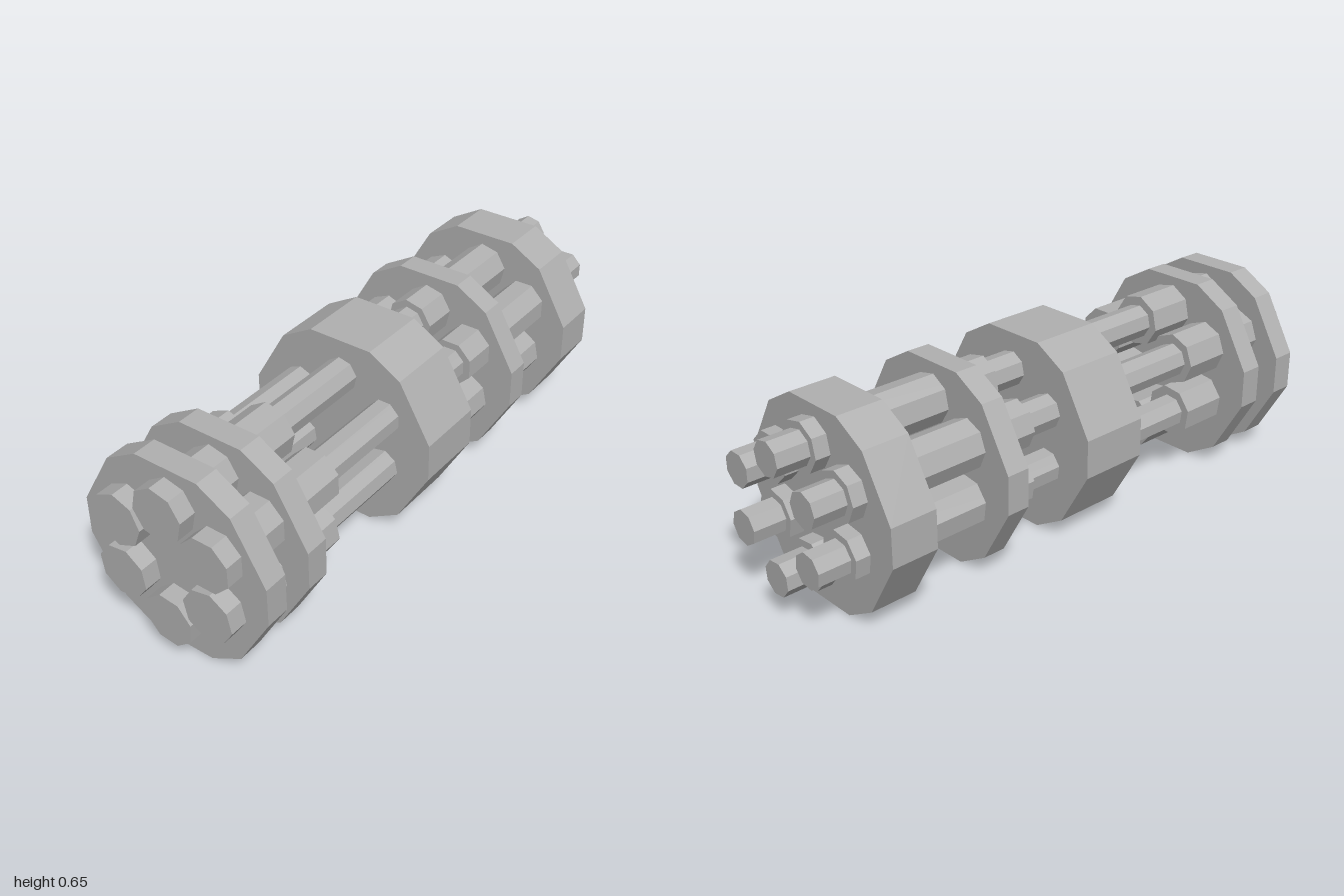
import * as THREE from 'three';

const AXIS_Y = 0.324;

// Twelve-sided plate: a hexagon with bevelled corners, spanning z0 to z1
function plate(z0, z1) {
  const shape = new THREE.Shape();
  for (let k = 0; k < 6; k++) {
    for (const off of [-10.9, 10.9]) {
      const a = THREE.MathUtils.degToRad(k * 60 + off);
      const x = 0.343 * Math.cos(a), y = 0.343 * Math.sin(a);
      if (k === 0 && off < 0) shape.moveTo(x, y);
      else shape.lineTo(x, y);
    }
  }
  const geo = new THREE.ExtrudeGeometry(shape, { depth: z1 - z0, bevelEnabled: false });
  return geo.translate(0, AXIS_Y, z0);
}

// Octagonal bar along z, turned about its own axis
function bar(radius, z0, z1, x, y, turn) {
  const geo = new THREE.CylinderGeometry(radius, radius, z1 - z0, 8);
  geo.rotateX(Math.PI / 2);
  geo.rotateZ(THREE.MathUtils.degToRad(turn));
  return geo.translate(x, y, (z0 + z1) / 2);
}

export function createModel() {
  const model = new THREE.Group();
  model.name = 'barrelCluster';
  const metal = new THREE.MeshStandardMaterial({ color: 0xb0b0b0, flatShading: true });
  metal.name = 'grey metal';

  const add = (parent, name, geo) => {
    const mesh = new THREE.Mesh(geo, metal);
    mesh.name = name;
    parent.add(mesh);
  };

  // Clamping plates, front to back
  const plates = [
    ['frontPlate', 0.86, 0.94],
    ['secondPlate', 0.68, 0.76],
    ['middleBlock', -0.08, 0.16],
    ['rearPlate', -0.41, -0.33],
    ['rearBlock', -0.84, -0.68],
  ];
  for (const [name, z0, z1] of plates) add(model, name, plate(z0, z1));

  // Six barrels: centre x, centre y, turn in degrees
  const barrels = [
    [0.010, 0.529, 9.6], [0.172, 0.434, 22.5], [0.167, 0.244, 35],
    [0.011, 0.141, 16.6], [-0.153, 0.241, 30.5], [-0.153, 0.434, 1.5],
  ];
  barrels.forEach(([x, y, turn], i) => {
    const barrel = new THREE.Group();
    barrel.name = `barrel${i + 1}`;
    add(barrel, 'muzzleSleeve', bar(0.09, 0.51, 1, x, y, turn));
    add(barrel, 'rod', bar(0.058, -1, 0.52, x - 0.004, y, turn));
    add(barrel, 'rearSleeve', bar(0.083, -0.89, -0.21, x - 0.003, y, turn));
    model.add(barrel);
  });
  return model;
}
